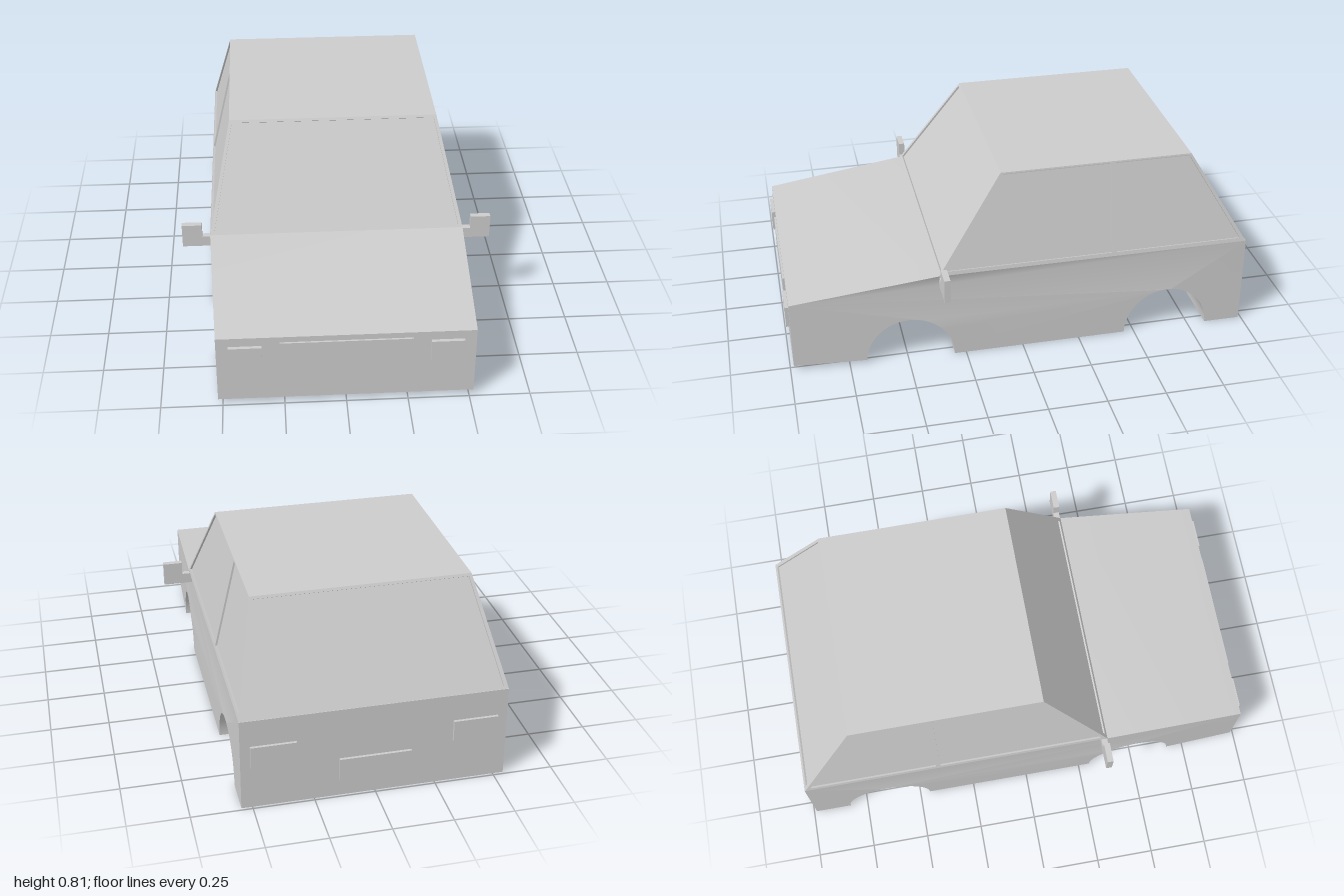
import * as THREE from 'three';
import { toCreasedNormals } from 'three/addons/utils/BufferGeometryUtils.js';

const W = 0.545, BELT = 0.4, ROOF = 0.806;
const V = (x, y, z) => new THREE.Vector3(x, y, z);

export function createModel() {
  const car = new THREE.Group();
  car.name = 'car';
  const grey = new THREE.MeshStandardMaterial({ color: 0xcccccc });
  const add = (name, geometry) => {
    const mesh = new THREE.Mesh(geometry, grey);
    mesh.name = name;
    car.add(mesh);
    return mesh;
  };

  // Lower body: side profile (z, y) with wheel arches, extruded across the width
  const side = new THREE.Shape();
  side.moveTo(-0.988, 0);
  side.lineTo(-0.83, 0);
  side.absellipse(-0.643, 0, 0.187, 0.196, Math.PI, 0, true);
  side.lineTo(0.3, 0);
  side.absellipse(0.488, 0, 0.188, 0.196, Math.PI, 0, true);
  side.lineTo(0.676, 0.013);
  side.lineTo(0.985, 0.02);
  side.lineTo(0.985, 0.323);
  side.lineTo(0.36, BELT);
  side.lineTo(-0.988, BELT);
  const body = new THREE.ExtrudeGeometry(side, { depth: 2 * W, bevelEnabled: false, curveSegments: 24 });
  body.rotateY(-Math.PI / 2).translate(W, 0, 0);
  // The bonnet narrows towards the nose
  const pos = body.attributes.position;
  for (let i = 0; i < pos.count; i++) {
    const t = Math.max(0, (pos.getZ(i) - 0.36) / 0.625);
    pos.setX(i, pos.getX(i) * (1 - 0.048 * t));
  }
  add('lowerBody', toCreasedNormals(body, 0.5));

  // Cabin wall: corners run counter-clockwise from outside, starting bottom left.
  // Each window is [v0, v1, bottomLeft, bottomRight, topRight, topLeft] in wall fractions.
  function wall(name, corners, windows) {
    const [a, b, c, d] = corners;
    const X = b.clone().sub(a).normalize();
    const N = X.clone().cross(d.clone().sub(a)).normalize();
    const Y = N.clone().cross(X);
    const local = (p) => {
      const q = p.clone().sub(a);
      return new THREE.Vector2(q.dot(X), q.dot(Y));
    };
    const at = (u, v) => local(a.clone().lerp(b, u).lerp(d.clone().lerp(c, u), v));
    const place = new THREE.Matrix4().makeBasis(X, Y, N).setPosition(a);
    const frame = new THREE.Shape(corners.map(local));
    windows.forEach(([v0, v1, bl, br, tr, tl]) => {
      const outline = [at(bl, v0), at(br, v0), at(tr, v1), at(tl, v1)];
      frame.holes.push(new THREE.Path(outline));
      // Recessed pane
      const pane = new THREE.ShapeGeometry(new THREE.Shape(outline));
      add(name + 'Glass', pane.translate(0, 0, -0.008).applyMatrix4(place));
    });
    const geometry = new THREE.ExtrudeGeometry(frame, { depth: 0.01, bevelEnabled: false });
    add(name + 'Frame', geometry.translate(0, 0, -0.01).applyMatrix4(place));
  }

  const base = (s, z) => V(s * W, BELT, z);
  const top = (s, z) => V(s * 0.45, ROOF, z);
  const F = 0.36, B = -0.986, f = 0.08, r = -0.742;
  const screen = [[0.03, 0.975, 0.015, 0.985, 0.985, 0.015]];
  wall('windscreen', [base(-1, F), base(1, F), top(1, f), top(-1, f)], screen);
  wall('rearWindow', [base(1, B), base(-1, B), top(-1, r), top(1, r)], screen);

  // Two windows a side, split by an upright pillar
  const sideWindows = [
    [0.04, 0.985, 0.013, 0.555, 0.568, 0.016],
    [0.04, 0.985, 0.57, 0.987, 0.984, 0.594],
  ];
  wall('leftSide', [base(1, F), base(1, B), top(1, r), top(1, f)], sideWindows);
  const mirrored = sideWindows.map(([v0, v1, bl, br, tr, tl]) => [v0, v1, 1 - br, 1 - bl, 1 - tl, 1 - tr]);
  wall('rightSide', [base(-1, B), base(-1, F), top(-1, f), top(-1, r)], mirrored);
  wall('roof', [top(-1, f), top(1, f), top(1, r), top(-1, r)], []);

  // Raised blocks on the nose and tail, given by their extents
  const block = (name, x0, x1, y0, y1, z0, z1) =>
    add(name, new THREE.BoxGeometry(x1 - x0, y1 - y0, z1 - z0)
      .translate((x0 + x1) / 2, (y0 + y1) / 2, (z0 + z1) / 2));
  block('grille', -0.265, 0.265, 0.163, 0.298, 0.97, 0.993);
  block('rearPlate', -0.148, 0.148, 0.08, 0.175, -1, -0.97);

  // Door mirror with a short arm
  const mirrorShape = new THREE.Shape([
    [0.535, 0.347], [0.664, 0.347], [0.664, 0.451], [0.579, 0.451], [0.579, 0.394], [0.535, 0.394],
  ].map(([x, y]) => new THREE.Vector2(x, y)));

  for (const s of [1, -1]) {
    const label = s > 0 ? 'left' : 'right';
    const pair = (name, x0, x1, ...rest) =>
      block(label + name, Math.min(s * x0, s * x1), Math.max(s * x0, s * x1), ...rest);
    pair('Headlight', 0.337, 0.47, 0.19, 0.284, 0.97, 1);
    pair('TailLight', 0.32, 0.505, 0.19, 0.284, -1, -0.97);
    const mirror = new THREE.ExtrudeGeometry(mirrorShape, { depth: 0.026, bevelEnabled: false });
    mirror.translate(0, 0, -0.013);
    if (s < 0) mirror.rotateY(Math.PI);
    add(label + 'Mirror', mirror.translate(0, 0, 0.346));
  }
  return car;
}
